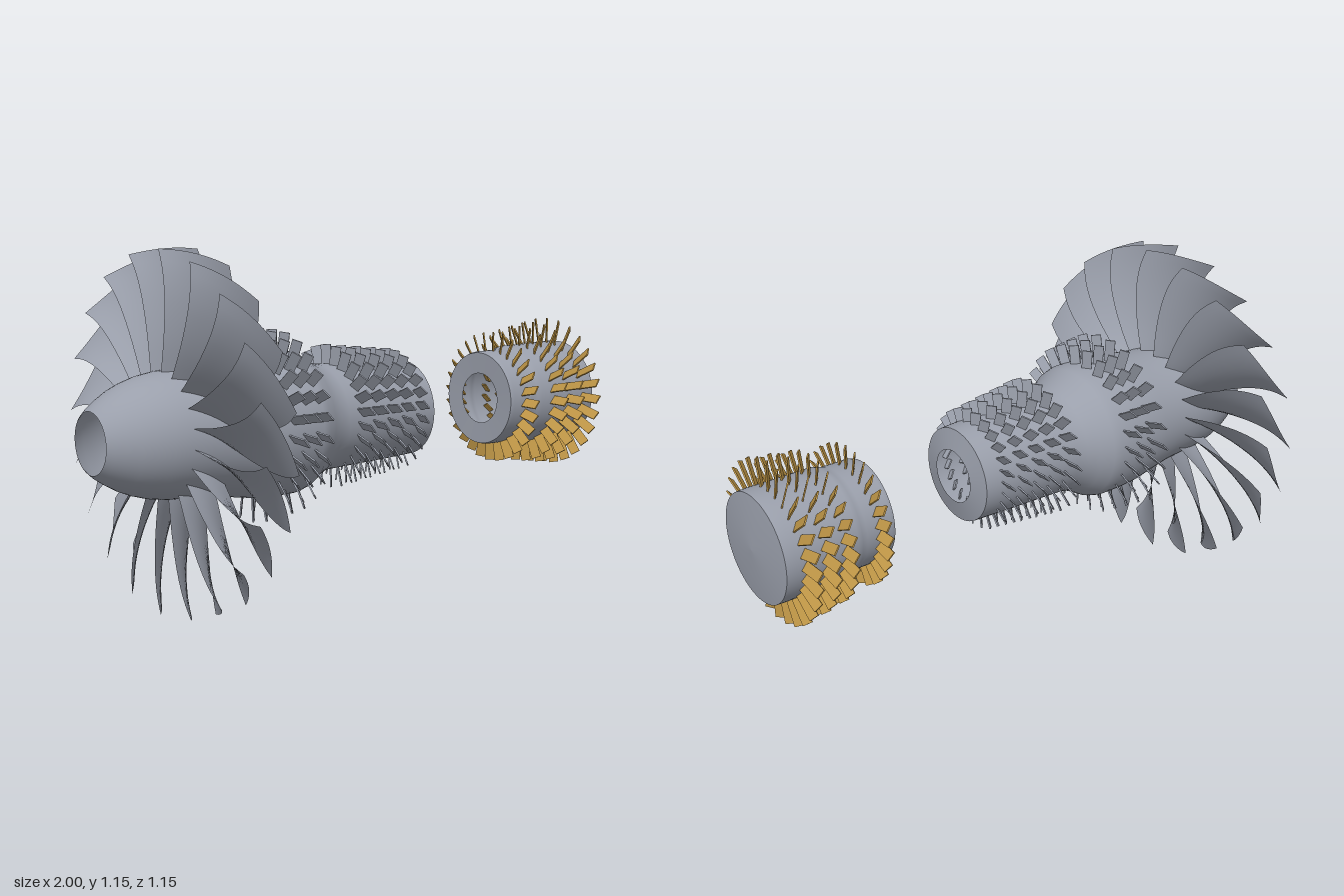
import * as THREE from 'three';

const AXIS_Y = 0.575;
const RAD = Math.PI / 180;

const steel = new THREE.MeshStandardMaterial({ color: 0x9a9fab, side: THREE.DoubleSide });
steel.name = 'steel grey';
const brass = new THREE.MeshStandardMaterial({ color: 0xc09747 });
brass.name = 'brass';

// Surface of revolution about the x axis from [x, radius] pairs
function revolve(name, profile) {
  const pts = profile.map(([x, r]) => new THREE.Vector2(r, x));
  const geo = new THREE.LatheGeometry(pts, 64);
  geo.rotateZ(-Math.PI / 2);
  const mesh = new THREE.Mesh(geo, steel);
  mesh.name = name;
  return mesh;
}

// Repeats a blade evenly around the x axis
function bladeRing(name, geo, material, count, phase) {
  const ring = new THREE.Group();
  ring.name = name;
  for (let i = 0; i < count; i++) {
    const blade = new THREE.Mesh(geo, material);
    blade.name = name + 'Blade';
    blade.rotation.x = -phase * RAD - (i * 2 * Math.PI) / count;
    ring.add(blade);
  }
  return ring;
}

// Small flat blade, turned by its stagger angle
function plateBlade(x, rootR, tipR, stagger) {
  const geo = new THREE.BoxGeometry(0.034, tipR - rootR, 0.005);
  geo.rotateY(stagger * RAD);
  geo.translate(x, (rootR + tipR) / 2, 0);
  return geo;
}

// Twisted fan blade: trailing edge curve plus angular span, swept from root to tip
function fanBlade() {
  const trail = new THREE.CatmullRomCurve3([   // x, radius, angle in degrees
    [-0.62, 0.17, 10], [-0.618, 0.29, 7.6], [-0.622, 0.42, 8], [-0.632, 0.51, 10], [-0.645, 0.575, 12.7],
  ].map((p) => new THREE.Vector3(p[0], p[1], p[2] / 100)));
  const rows = 14, cols = 8;
  const geo = new THREE.PlaneGeometry(1, 1, cols, rows);
  const pos = geo.attributes.position;
  for (let i = 0; i < pos.count; i++) {
    const across = pos.getX(i) + 0.5;          // 0 leading, 1 trailing
    const t = trail.getPoint(pos.getY(i) + 0.5);
    const camber = 2 * Math.sin(across * Math.PI);
    const angle = (t.z * 100 + 22 * (1 - across) + camber) * RAD;
    const x = THREE.MathUtils.lerp(-0.76, t.x, across);
    pos.setXYZ(i, x, t.y * Math.cos(angle), -t.y * Math.sin(angle));
  }
  geo.computeVertexNormals();
  return geo;
}

export function createModel() {
  const model = new THREE.Group();
  model.name = 'turbofanRotor';
  const rotor = new THREE.Group();
  rotor.name = 'rotor';
  rotor.position.y = AXIS_Y;
  model.add(rotor);

  // Front hub: open spinner, low-pressure drum, neck and high-pressure drum
  rotor.add(revolve('frontHub', [
    [-1, 0.097], [-0.98, 0.115], [-0.95, 0.135], [-0.91, 0.158], [-0.87, 0.175], [-0.82, 0.19],
    [-0.76, 0.2], [-0.68, 0.204], [-0.6, 0.21], [-0.52, 0.222], [-0.44, 0.235], [-0.37, 0.239],
    [-0.3, 0.238], [-0.27, 0.23], [-0.23, 0.206], [-0.19, 0.186], [-0.15, 0.178], [-0.08, 0.175],
    [0.1, 0.169], [0.225, 0.163],
  ]));
  rotor.add(revolve('frontHubRearRim', [[0.225, 0.163], [0.24, 0.092]]));

  // Rear turbine drum: open annular front, closed back
  rotor.add(revolve('turbineFrontRim', [[0.588, 0.09], [0.585, 0.165]]));
  rotor.add(revolve('turbineDrum', [
    [0.585, 0.165], [0.6, 0.169], [0.69, 0.17], [0.71, 0.175], [0.73, 0.181], [0.8, 0.182],
    [0.95, 0.185], [0.985, 0.183],
  ]));
  rotor.add(revolve('turbineBackDisc', [[0.985, 0.183], [0.995, 0.1], [1, 0]]));

  // Fan
  rotor.add(bladeRing('fan', fanBlade(), steel, 20, 0));

  // Compressor rows: x, root radius, tip radius
  [
    [-0.425, 0.215, 0.315], [-0.373, 0.215, 0.309], [-0.322, 0.215, 0.303],
    [-0.104, 0.155, 0.24], [-0.04, 0.153, 0.232], [0.024, 0.15, 0.225],
    [0.088, 0.148, 0.217], [0.153, 0.145, 0.21],
  ].forEach(([x, root, tip], i) => {
    rotor.add(bladeRing('compressorRow' + (i + 1), plateBlade(x, root, tip, -50), steel, 26, 3.4));
  });

  // Turbine rows, staggered the opposite way
  [
    [0.647, 0.15, 0.235], [0.78, 0.16, 0.25], [0.85, 0.16, 0.261], [0.922, 0.16, 0.272],
  ].forEach(([x, root, tip], i) => {
    rotor.add(bladeRing('turbineRow' + (i + 1), plateBlade(x, root, tip, 50), brass, 28, -1.2));
  });

  return model;
}
